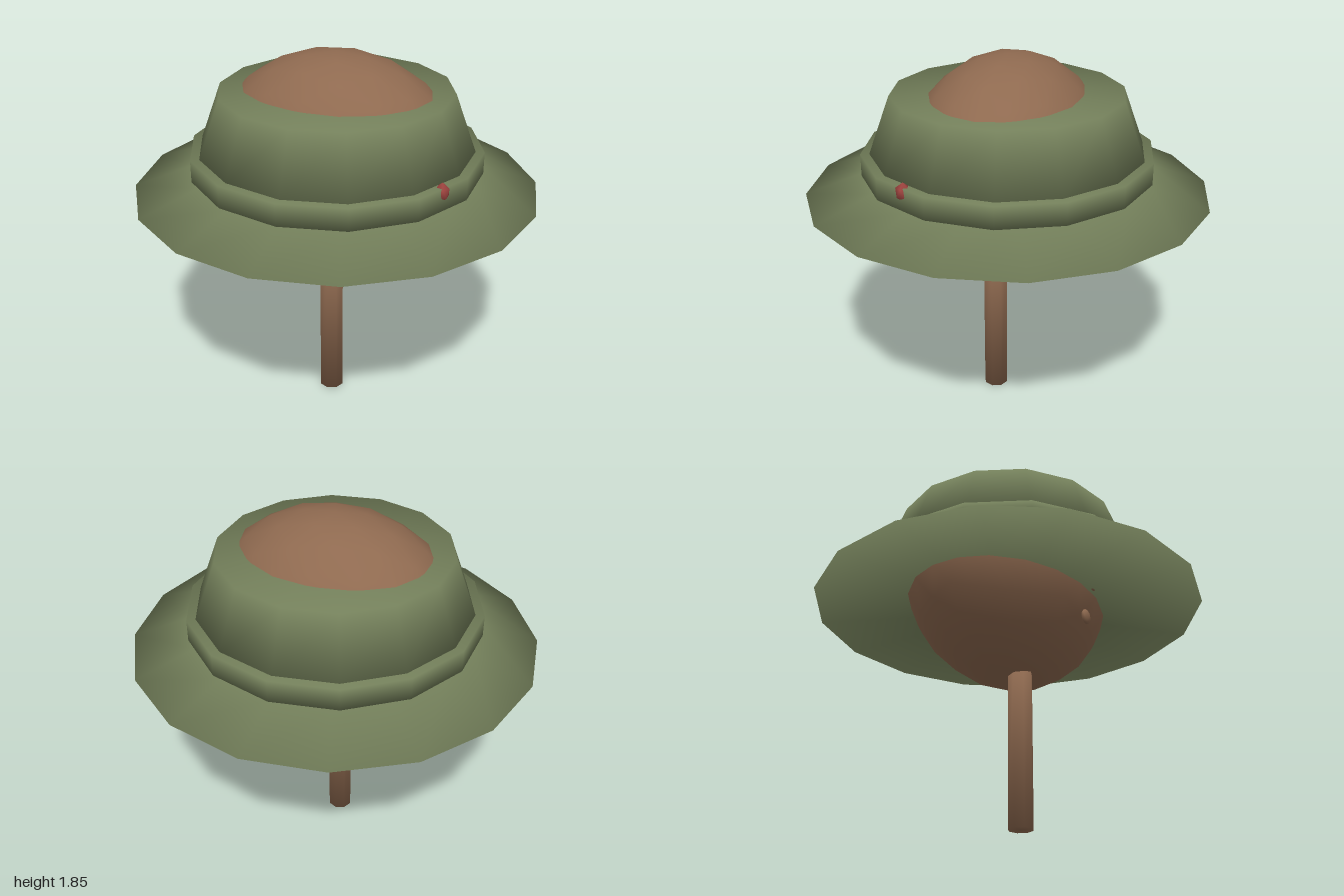
import * as THREE from 'three';

const mat = (name, color) => {
  const m = new THREE.MeshStandardMaterial({ color });
  m.name = name;
  return m;
};

// Closed frustum from y0 to y1, with normals blended across its rims so it shades softly.
function softFrustum(rBottom, rTop, y0, y1, sides) {
  const h = y1 - y0;
  const g = new THREE.CylinderGeometry(rTop, rBottom, h, sides, 1);
  const { position, normal } = g.attributes;
  const side = new THREE.Vector3();
  for (let i = 0; i < position.count; i++) {
    const x = position.getX(i), y = position.getY(i), z = position.getZ(i);
    const r = Math.hypot(x, z);
    if (r < 1e-6) continue;
    side.set(x / r, (rBottom - rTop) / h, z / r).normalize().multiplyScalar(Math.PI);
    side.y += Math.sign(y) * (Math.PI - 2 * Math.PI / sides);
    side.normalize();
    normal.setXYZ(i, side.x, side.y, side.z);
  }
  return g.translate(0, (y0 + y1) / 2, 0);
}

// Smooth icosphere with a vertex at the pole, scaled to an ellipsoid.
function ellipsoid(rx, ry, rz, detail) {
  const g = new THREE.IcosahedronGeometry(1, detail);
  g.rotateZ(-Math.atan2(1, (1 + Math.sqrt(5)) / 2));
  g.setAttribute('normal', g.attributes.position.clone());
  return g.scale(rx, ry, rz);
}

export function createModel() {
  const model = new THREE.Group();
  const green = mat('hat green', 0x737f5a);
  const brown = mat('head brown', 0x8f6a50);
  const red = mat('berry red', 0xa04540);

  const add = (name, geometry, material, x = 0, y = 0, z = 0) => {
    const mesh = new THREE.Mesh(geometry, material);
    mesh.name = name;
    mesh.position.set(x, y, z);
    model.add(mesh);
  };

  // Post and head
  add('post', softFrustum(0.063, 0.063, 0, 0.86, 8), brown, 0, 0, 0.07);
  add('head', ellipsoid(0.63, 0.54, 0.49, 3), brown, 0, 1.31, 0);

  // Small knobs down the front of the head
  for (const [y, z] of [[1.025, 0.445], [1.2, 0.49], [1.627, 0.36]]) {
    add('knob', ellipsoid(0.037, 0.04, 0.018, 1), brown, 0, y, z);
  }

  // Hat: wide sloping brim, band and tapered crown
  add('brim', softFrustum(1, 0.71, 1.165, 1.27, 16), green);
  add('band', softFrustum(0.72, 0.72, 1.27, 1.38, 14), green);
  add('crown', softFrustum(0.68, 0.57, 1.37, 1.665, 14), green);

  // Berry pinned to the band
  add('berry', ellipsoid(0.036, 0.046, 0.038, 0), red, 0.62, 1.355, 0.292);

  return model;
}
